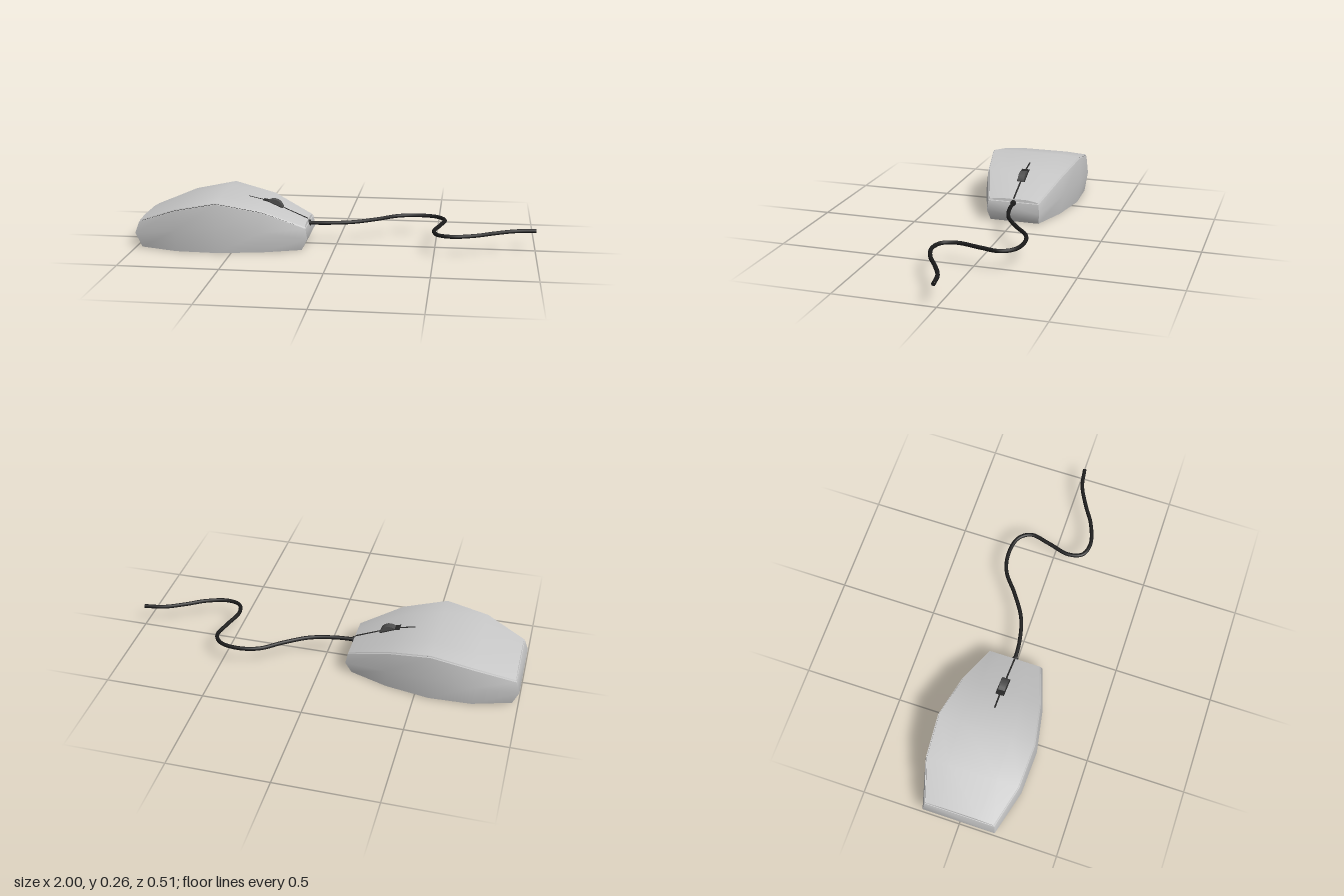
import * as THREE from 'three';
import { toCreasedNormals } from 'three/addons/utils/BufferGeometryUtils.js';

const shellMat = new THREE.MeshStandardMaterial({ color: 0xc8c8c8 });
shellMat.name = 'light grey plastic';
const gapMat = new THREE.MeshStandardMaterial({ color: 0x2a2a2a });
gapMat.name = 'dark gap';
const wheelMat = new THREE.MeshStandardMaterial({ color: 0x505050 });
wheelMat.name = 'wheel grey';
const cordMat = new THREE.MeshStandardMaterial({ color: 0x1a1a1a });
cordMat.name = 'black cord';

// Stations from the tail to the nose of the body
const seamX = [-0.98, -0.78, -0.57, -0.35, -0.14];
const seamY = [0.132, 0.207, 0.25, 0.203, 0.111];
const seamW = [0.178, 0.237, 0.247, 0.205, 0.136];
const midX = [-1, -0.78, -0.57, -0.35, -0.13];
const midY = [0.075, 0.11, 0.13, 0.105, 0.06];
const midW = [0.185, 0.248, 0.257, 0.215, 0.142];
const baseX = [-0.97, -0.78, -0.57, -0.35, -0.16];
const baseW = [0.172, 0.23, 0.238, 0.198, 0.131];
const ridgeY = [0.148, 0.222, 0.264, 0.217, 0.128];

// Mirrors a half section, listed from the bottom up on the +z side
function mirrored(half) {
  const other = half.map(([x, y, z]) => [x, y, -z]).reverse();
  return [...half, ...other];
}

// Closed skin through sections ordered along +x, with both ends capped
function loft(sections) {
  const out = [];
  const quad = (a, b, c, d) => out.push(...a, ...b, ...c, ...a, ...c, ...d);
  const n = sections[0].length;
  for (let i = 0; i < sections.length - 1; i++) {
    for (let j = 0; j < n; j++) {
      const k = (j + 1) % n;
      quad(sections[i][j], sections[i + 1][j], sections[i + 1][k], sections[i][k]);
    }
  }
  const first = sections[0];
  const last = sections[sections.length - 1];
  for (let k = 0; k < n / 2 - 1; k++) {
    quad(first[k], first[k + 1], first[n - 2 - k], first[n - 1 - k]);
    quad(last[n - 1 - k], last[n - 2 - k], last[k + 1], last[k]);
  }
  const geometry = new THREE.BufferGeometry();
  geometry.setAttribute('position', new THREE.Float32BufferAttribute(out, 3));
  return toCreasedNormals(geometry, 0.8);
}

// Height of the cover along its centre line
function ridgeAt(x) {
  let i = 0;
  while (i < seamX.length - 2 && x > seamX[i + 1]) i++;
  const t = (x - seamX[i]) / (seamX[i + 1] - seamX[i]);
  return THREE.MathUtils.lerp(ridgeY[i], ridgeY[i + 1], t);
}

// Thin strip that follows the cover
function strip(xs, halfWidth, lift) {
  return loft(xs.map((x) => mirrored([
    [x, ridgeAt(x) - 0.004, halfWidth],
    [x, ridgeAt(x) + lift, halfWidth],
  ])));
}

export function createModel() {
  const model = new THREE.Group();
  model.name = 'computerMouse';
  const add = (name, geometry, material) => {
    const mesh = new THREE.Mesh(geometry, material);
    mesh.name = name;
    model.add(mesh);
    return mesh;
  };
  // Pulls the two end stations inwards
  const inset = (i, d) => seamX[i] + (i === 0 ? d : i === seamX.length - 1 ? -d : 0);

  // Lower shell with flared sides
  add('lowerShell', loft(seamX.map((x, i) => mirrored([
    [baseX[i], 0, baseW[i]],
    [midX[i], midY[i], midW[i]],
    [x, seamY[i], seamW[i]],
  ]))), shellMat);

  // Dark line between shell and cover
  add('seamGap', loft(seamX.map((x, i) => mirrored([
    [inset(i, 0.007), seamY[i] - 0.01, seamW[i] - 0.008],
    [inset(i, 0.007), seamY[i] + 0.005, seamW[i] - 0.008],
  ]))), gapMat);

  // Gently crowned top cover
  add('topCover', loft(seamX.map((x, i) => mirrored([
    [inset(i, 0.003), seamY[i] + 0.003, seamW[i] - 0.004],
    [inset(i, 0.004), seamY[i] + 0.008, seamW[i] - 0.006],
    [inset(i, 0.005), ridgeY[i], seamW[i] * 0.52],
  ]))), shellMat);

  // Split between the buttons and the wheel slot
  add('buttonSplit', strip([-0.45, -0.35, -0.147], 0.004, 0.001), gapMat);
  add('wheelSlot', strip([-0.375, -0.35, -0.275], 0.022, 0.002), gapMat);

  // Scroll wheel
  const wheel = add('scrollWheel', new THREE.CylinderGeometry(0.05, 0.05, 0.034, 24), wheelMat);
  wheel.rotation.x = Math.PI / 2;
  wheel.position.set(-0.323, 0.177, 0);

  // Wavy cord lying level from the nose
  const path = new THREE.CatmullRomCurve3([
    [-0.16, 0], [-0.05, -0.008], [0.08, -0.042], [0.2, -0.118], [0.3, -0.195],
    [0.4, -0.219], [0.5, -0.2], [0.543, -0.14], [0.525, -0.04], [0.497, 0.08],
    [0.52, 0.15], [0.59, 0.172], [0.7, 0.14], [0.8, 0.08], [0.9, 0.03], [1, 0.012],
  ].map(([x, z]) => new THREE.Vector3(x, 0.107, z)));
  add('cord', new THREE.TubeGeometry(path, 120, 0.01, 10), cordMat);
  const tip = add('cordTip', new THREE.CircleGeometry(0.01, 10), cordMat);
  tip.rotation.y = Math.PI / 2;
  tip.position.set(1, 0.107, 0.012);

  // Collar where the cord enters the nose
  const collar = add('cordCollar', new THREE.CylinderGeometry(0.015, 0.015, 0.03, 16), gapMat);
  collar.rotation.z = Math.PI / 2;
  collar.position.set(-0.148, 0.108, 0);

  return model;
}
